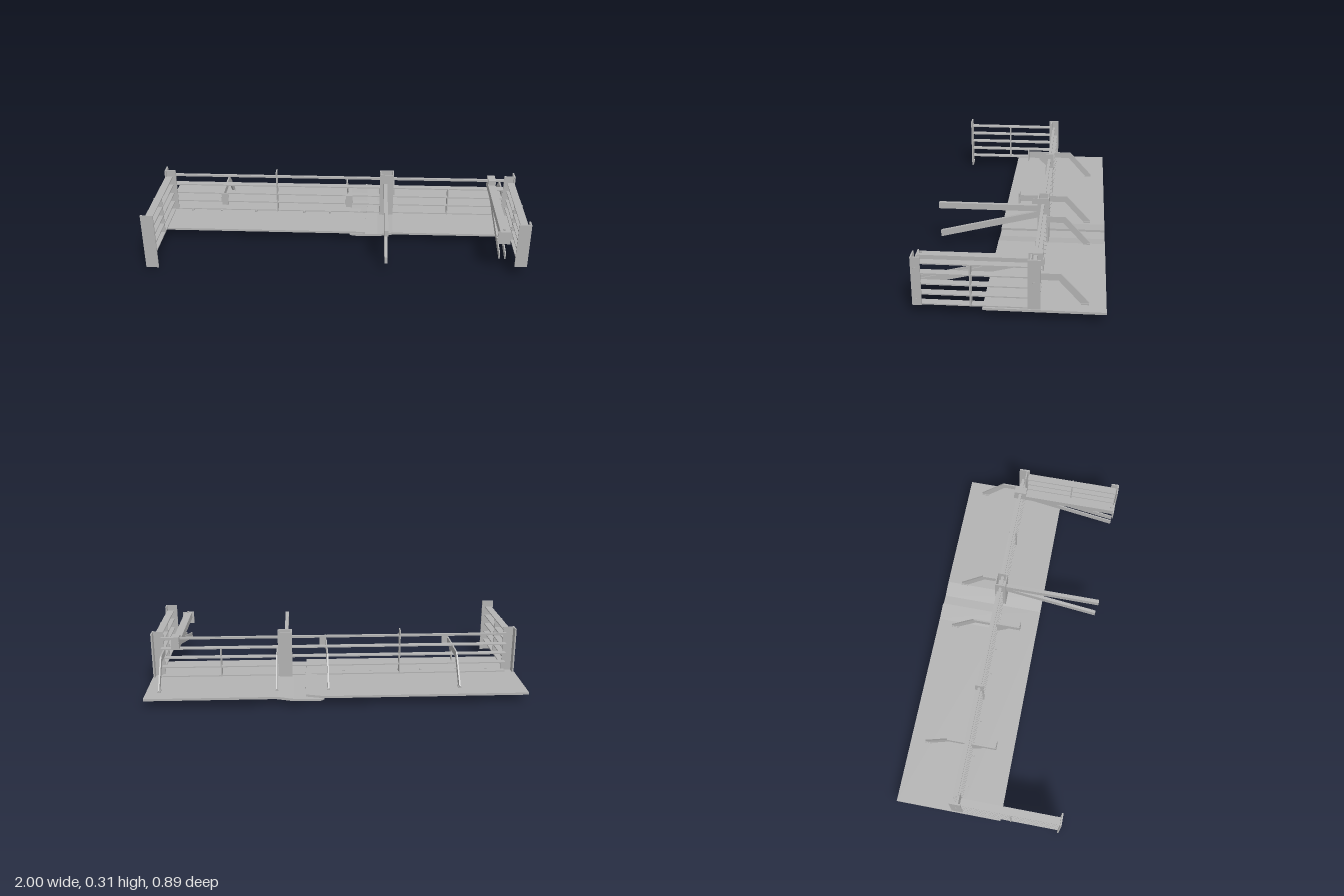
import * as THREE from 'three';

export function createModel() {
  const model = new THREE.Group();
  const steel = new THREE.MeshStandardMaterial({ color: 0xb3b3b3 });
  steel.name = 'grey steel';

  const add = (name, geo, parent = model) => {
    const m = new THREE.Mesh(geo, steel);
    m.name = name;
    parent.add(m);
    return m;
  };
  // Box given by its limits on each axis
  const box = (name, x0, x1, y0, y1, z0, z1) => {
    const m = add(name, new THREE.BoxGeometry(x1 - x0, y1 - y0, z1 - z0));
    m.position.set((x0 + x1) / 2, (y0 + y1) / 2, (z0 + z1) / 2);
    return m;
  };
  const shape = (pts) => new THREE.Shape(pts.map(([a, b]) => new THREE.Vector2(a, b)));
  // Outline in (x, y), extruded from z0 to z1
  const alongZ = (name, pts, z0, z1) => {
    const g = new THREE.ExtrudeGeometry(shape(pts), { depth: z1 - z0, bevelEnabled: false });
    add(name, g.translate(0, 0, z0));
  };
  // Outline in (z, y), extruded from x0 to x1
  const alongX = (name, pts, x0, x1) => {
    const g = new THREE.ExtrudeGeometry(shape(pts.map(([z, y]) => [-z, y])), { depth: x1 - x0, bevelEnabled: false });
    add(name, g.rotateY(Math.PI / 2).translate(x0, 0, 0));
  };
  const bolt = (name, x, y, z, axis) => {
    const g = new THREE.CylinderGeometry(0.007, 0.007, 0.008, 6);
    if (axis === 'x') g.rotateZ(Math.PI / 2);
    if (axis === 'z') g.rotateX(Math.PI / 2);
    add(name, g).position.set(x, y, z);
  };

  // Floor: one plate with a lifted rear edge overlaps a second, dipping plate
  const zMid = -0.1;
  alongZ('floorPlateFront', [[-0.998, 0.047], [0.155, 0.047], [0.155, 0.059], [-0.998, 0.059]], zMid, 0.12);
  alongZ('floorPlateRear', [[-0.998, 0.047], [0.07, 0.047], [0.165, 0.058], [0.165, 0.07],
    [0.07, 0.059], [-0.998, 0.059]], -0.447, zMid);
  alongZ('dippedFloorPlate', [[0.07, 0.04], [0.09, 0.033], [0.23, 0.034], [0.32, 0.047], [0.998, 0.047],
    [0.998, 0.059], [0.31, 0.059], [0.225, 0.046], [0.09, 0.044], [0.07, 0.045]], -0.447, 0.12);

  // Rear fence: four flat slats and a top bar
  const levels = [0.063, 0.115, 0.167, 0.22];
  for (const y of levels) box('rearSlat', -0.945, 0.945, y - 0.003, y + 0.003, -0.138, -0.102);
  box('rearTopRail', -0.945, 0.945, 0.27, 0.281, -0.124, -0.108);
  box('tallDivider', -0.358, -0.352, 0.06, 0.31, -0.14, -0.095);
  box('shortDivider', 0.62, 0.626, 0.06, 0.222, -0.14, -0.095);
  for (const x of [-0.85, -0.68, -0.48, -0.2, -0.05]) bolt('floorBolt', x, 0.063, -0.09, 'y');

  // Side wings with slats, a divider and angle posts
  for (const s of [-1, 1]) {
    const sideBox = (name, xa, xb, ...r) => box(name, Math.min(s * xa, s * xb), Math.max(s * xa, s * xb), ...r);
    for (const y of [...levels, 0.272]) sideBox('wingSlat', 0.95, 0.99, y - 0.003, y + 0.003, -0.09, 0.432);
    sideBox('wingDivider', 0.95, 0.994, 0.06, 0.275, 0.171, 0.178);
    sideBox('cornerPostSide', 0.985, 0.993, 0.059, 0.31, -0.146, -0.086);
    sideBox('cornerPostFace', 0.932, 0.993, 0.059, 0.31, -0.104, -0.097);
    bolt('postBolt', s * 0.992, 0.195, -0.115, 'x');
  }
  box('frontPostFace', -0.998, -0.932, 0, 0.31, 0.428, 0.436);
  bolt('postBolt', -0.965, 0.025, 0.425, 'z');
  box('frontPostFace', 0.932, 0.996, 0.059, 0.306, 0.437, 0.444);
  box('frontPostSide', 0.988, 0.996, 0.059, 0.306, 0.4, 0.444);
  for (const y of [0.09, 0.25]) bolt('postBolt', 0.996, y, 0.424, 'x');

  // Open square centre post
  box('centrePostWall', 0.235, 0.241, 0.055, 0.31, -0.148, -0.088);
  box('centrePostWall', 0.306, 0.312, 0.055, 0.31, -0.148, -0.088);
  box('centrePostWall', 0.241, 0.306, 0.055, 0.31, -0.148, -0.142);
  box('centrePostWall', 0.241, 0.306, 0.055, 0.31, -0.094, -0.088);

  // Forward arms and their sloping struts
  box('centreArm', 0.256, 0.276, 0.222, 0.255, -0.09, 0.44);
  alongX('centreStrut', [[0.435, 0.056], [0.435, 0.091], [-0.088, 0.222], [-0.088, 0.187]], 0.26, 0.277);
  box('sideArm', 0.843, 0.885, 0.225, 0.261, -0.155, 0.44);
  box('sideArmEndPlate', 0.832, 0.898, 0.192, 0.262, 0.434, 0.441);
  box('sideArmBracket', 0.843, 0.885, 0.245, 0.29, -0.15, -0.083);
  bolt('armBolt', 0.865, 0.266, 0.42, 'y');
  for (const x of [0.847, 0.877]) {
    alongX('sideStrut', [[0.435, 0.099], [0.435, 0.134], [0.08, 0.222], [-0.06, 0.222]], x, x + 0.006);
  }

  // Bent rear braces standing on small feet
  const brace = (x, front) => {
    alongX('rearBrace', [[front, 0.18], [front, 0.214], [-0.235, 0.214], [-0.367, 0.07], [-0.367, 0.06],
      [-0.332, 0.06], [-0.225, 0.18]], x - 0.004, x + 0.004);
    box('braceFoot', x - 0.008, x + 0.008, 0.059, 0.065, -0.367, -0.33);
  };
  brace(0.316, -0.1);
  brace(0.93, -0.1);
  for (const x of [-0.65, 0.045]) {
    brace(x, 0.03);
    box('bracePlate', x, x + 0.036, 0.165, 0.236, 0.025, 0.031);
    alongX('braceGusset', [[-0.04, 0.182], [-0.1, 0.182], [-0.1, 0.108], [-0.04, 0.165]], x - 0.003, x + 0.003);
    bolt('braceBolt', x + 0.005, 0.19, -0.05, 'x');
  }
  return model;
}
